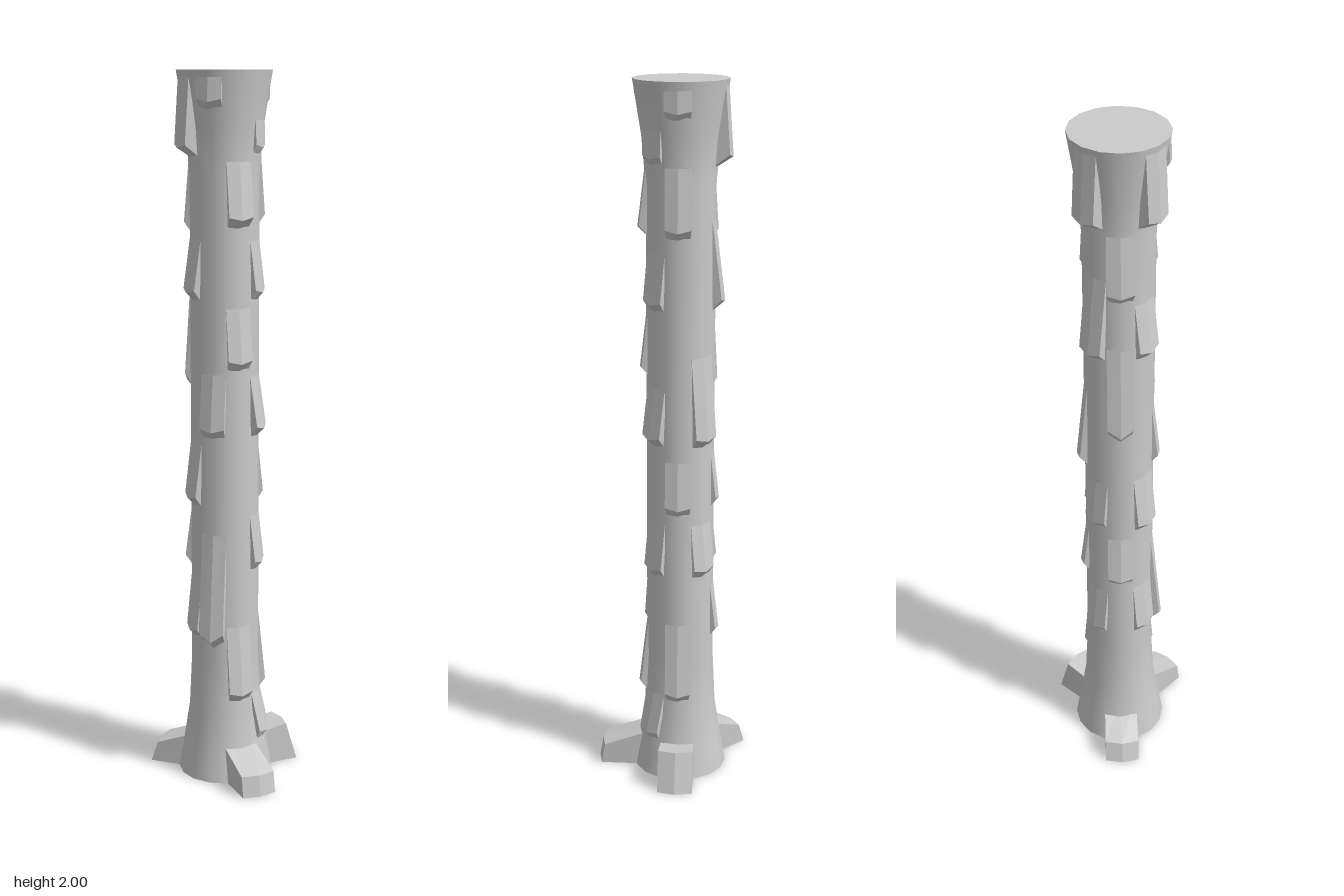
import * as THREE from 'three';

const material = new THREE.MeshStandardMaterial({ color: 0xcccccc });
const flatMaterial = new THREE.MeshStandardMaterial({ color: 0xcccccc, flatShading: true });
const SIDES = 16;
const RADIUS = 0.095;
// Trunk profile: radius, height
const PROFILE = [
  [0.135, 0], [0.12, 0.09], [0.103, 0.2], [0.096, 0.35], [RADIUS, 1],
  [RADIUS, 1.72], [0.106, 1.85], [0.13, 2],
];

function addMesh(parent, name, geometry, mat) {
  const mesh = new THREE.Mesh(geometry, mat);
  mesh.name = name;
  parent.add(mesh);
  return mesh;
}

// Trunk radius at a height
function trunkRadius(y) {
  for (let i = 1; i < PROFILE.length; i++) {
    const [r0, y0] = PROFILE[i - 1], [r1, y1] = PROFILE[i];
    if (y <= y1) return r0 + (r1 - r0) * (y - y0) / (y1 - y0);
  }
  return 0.13;
}

// Moves the corners of a box with a centre crease. Rule gets signs of x, y, z.
function creasedBlock(rule) {
  const geometry = new THREE.BoxGeometry(2, 2, 2, 2, 1, 1);
  const p = geometry.attributes.position;
  for (let i = 0; i < p.count; i++) {
    p.setXYZ(i, ...rule(p.getX(i), p.getY(i), p.getZ(i)));
  }
  geometry.computeVertexNormals();
  return geometry;
}

// Bark flake: sinks into the trunk at the top, sticks out in a lip at the bottom
function barkFlake(bottom, length, lip, pointed) {
  const top = Math.min(bottom + length, 2);
  return creasedBlock((sx, sy, sz) => {
    const crease = sx === 0 ? 1 : 0;
    if (sy > 0) {
      const r = trunkRadius(top) - 0.004;
      return [sx * 0.036, top, sz > 0 ? r - 0.007 * (1 - crease) : r - 0.04];
    }
    const drop = crease * pointed;
    if (sz > 0) return [sx * 0.036, bottom + 0.035 - drop, lip - 0.008 * (1 - crease)];
    return [sx * 0.03, bottom - drop, trunkRadius(bottom) - 0.014];
  });
}

// Root: a short block running outwards with a blunt, creased tip
function rootBlock({ inner, outer, topEnd, bottomEnd }) {
  return creasedBlock((sx, sy, sz) => {
    if (sz < 0) return [sx * 0.048, sy > 0 ? inner : 0, 0.06];
    const back = sx === 0 ? 0 : 0.01;
    return [sx * 0.05, sy > 0 ? outer : 0, (sy > 0 ? topEnd : bottomEnd) - back];
  });
}

export function createModel() {
  const model = new THREE.Group();
  model.name = 'palmTrunk';
  const tree = new THREE.Group();
  tree.name = 'trunkGroup';
  tree.position.set(-0.02, 0, -0.03);
  model.add(tree);

  // Trunk and its end caps
  const points = PROFILE.map(([r, y]) => new THREE.Vector2(r, y));
  addMesh(tree, 'trunk', new THREE.LatheGeometry(points, SIDES), material);
  const topCap = addMesh(tree, 'topCap', new THREE.CircleGeometry(0.13, SIDES), material);
  topCap.rotation.x = -Math.PI / 2;
  topCap.position.y = 2;
  const bottomCap = addMesh(tree, 'bottomCap', new THREE.CircleGeometry(0.135, SIDES), material);
  bottomCap.rotation.x = Math.PI / 2;

  // Roots, by angle from the front towards +x
  const roots = [
    { angle: 0, inner: 0.118, outer: 0.06, topEnd: 0.23, bottomEnd: 0.24 },
    { angle: 90, inner: 0.098, outer: 0.115, topEnd: 0.185, bottomEnd: 0.22 },
    { angle: 225, inner: 0.11, outer: 0.06, topEnd: 0.205, bottomEnd: 0.225 },
  ];
  for (const root of roots) {
    const mesh = addMesh(tree, 'root', rootBlock(root), flatMaterial);
    mesh.rotation.y = THREE.MathUtils.degToRad(root.angle);
  }

  // Bark flakes: for each angle a list of [bottom, length, lip radius]
  const bark = {
    0: [[0.23, 0.26, 0.12], [1.19, 0.21, 0.113], [1.58, 0.2, 0.118]],
    45: [[0.1, 0.17, 0.128], [0.61, 0.2, 0.112], [1.0, 0.2, 0.117], [1.38, 0.2, 0.112], [1.77, 0.12, 0.112]],
    90: [[0.23, 0.28, 0.12], [0.8, 0.2, 0.11], [1.58, 0.22, 0.113], [1.89, 0.11, 0.127]],
    135: [[0.61, 0.2, 0.112], [1.0, 0.3, 0.118]],
    180: [[0.41, 0.2, 0.112], [0.81, 0.2, 0.11], [1.38, 0.28, 0.122], [1.77, 0.23, 0.14]],
    225: [[0.61, 0.2, 0.115], [1.14, 0.34, 0.113], [1.56, 0.22, 0.113]],
    270: [[0.41, 0.22, 0.112], [0.8, 0.22, 0.115], [1.38, 0.2, 0.116], [1.77, 0.23, 0.14]],
    315: [[0.41, 0.36, 0.125], [1.0, 0.22, 0.113], [1.89, 0.11, 0.13]],
  };
  for (const [angle, flakes] of Object.entries(bark)) {
    for (const [bottom, length, lip] of flakes) {
      const pointed = length > 0.3 ? 0.025 : 0.008;
      const mesh = addMesh(tree, 'barkFlake', barkFlake(bottom, length, lip, pointed), flatMaterial);
      mesh.rotation.y = THREE.MathUtils.degToRad(Number(angle));
    }
  }
  return model;
}
